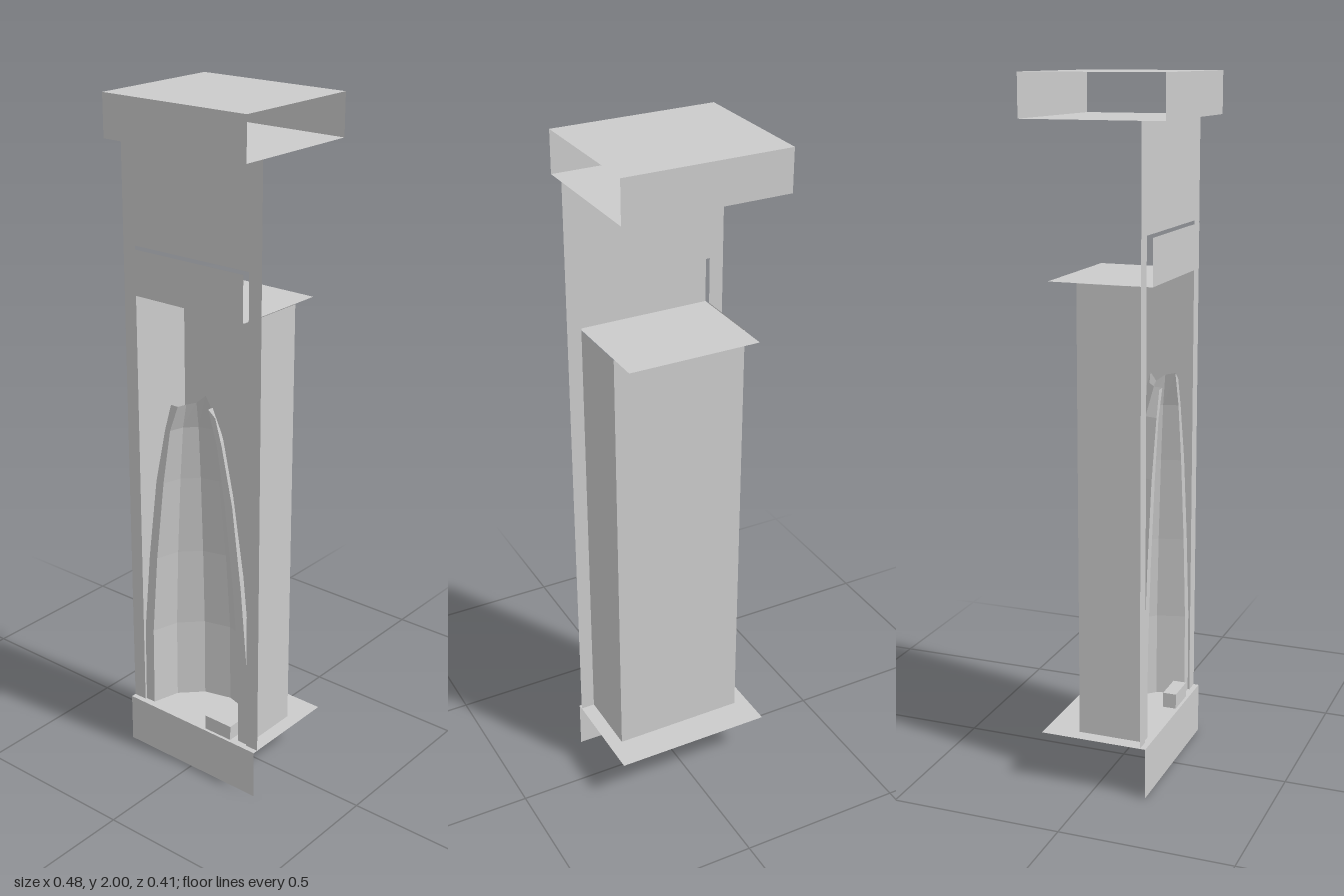
import * as THREE from 'three';

const grey = new THREE.MeshStandardMaterial({ color: 0xcccccc, side: THREE.DoubleSide, flatShading: true });

export function createModel() {
  const model = new THREE.Group();

  const add = (name, geometry, x = 0, y = 0, z = 0) => {
    const mesh = new THREE.Mesh(geometry, grey);
    mesh.name = name;
    mesh.position.set(x, y, z);
    model.add(mesh);
    return mesh;
  };
  // Upright sheet facing the front (or the back)
  const upright = (name, x0, x1, y0, y1, z, back = false) => {
    const mesh = add(name, new THREE.PlaneGeometry(x1 - x0, y1 - y0), (x0 + x1) / 2, (y0 + y1) / 2, z);
    if (back) mesh.rotation.y = Math.PI;
  };
  // Level sheet facing up (or down)
  const level = (name, halfWidth, y, z0, z1, down = false) => {
    const mesh = add(name, new THREE.PlaneGeometry(halfWidth * 2, z1 - z0), 0, y, (z0 + z1) / 2);
    mesh.rotation.x = down ? Math.PI / 2 : -Math.PI / 2;
  };
  // Grid of quads from rows of points
  const loft = (rows) => {
    const n = rows[0].length, index = [];
    for (let i = 0; i < rows.length - 1; i++) {
      for (let j = 0; j < n - 1; j++) {
        const a = i * n + j, b = a + 1, c = a + n, d = c + 1;
        index.push(a, b, d, a, d, c);
      }
    }
    const geometry = new THREE.BufferGeometry();
    geometry.setAttribute('position', new THREE.Float32BufferAttribute(rows.flat(2), 3));
    geometry.setIndex(index);
    geometry.computeVertexNormals();
    return geometry;
  };

  // Cap: a sleeve open at both ends
  level('capTop', 0.24, 2, -0.205, 0.205);
  level('capBottom', 0.24, 1.88, -0.205, 0.205, true);
  upright('capFront', -0.24, 0.24, 1.88, 2, 0.205);
  upright('capBack', -0.24, 0.24, 1.88, 2, -0.205, true);

  // Front panel with its tall opening
  const outline = [[-0.24, 0.15], [-0.198, 0.15], [-0.198, 1.585], [0.198, 1.585],
    [0.198, 0.15], [0.24, 0.15], [0.24, 1.88], [-0.24, 1.88]];
  const panel = new THREE.Shape(outline.map(([x, y]) => new THREE.Vector2(x, y)));
  add('frontPanel', new THREE.ShapeGeometry(panel), 0, 0, 0.14);

  // Plate and shelf closing the top of the niche
  upright('signPlate', -0.195, 0.192, 1.45, 1.58, 0.156);
  level('shelf', 0.195, 1.45, -0.145, 0.156);

  // Niche walls
  upright('nicheBack', -0.198, 0.198, 0.15, 1.45, -0.06);
  for (const side of [-1, 1]) {
    const wall = add(side > 0 ? 'leftNicheWall' : 'rightNicheWall', new THREE.PlaneGeometry(0.2, 1.3), side * 0.198, 0.8, 0.04);
    wall.rotation.y = side * Math.PI / 2;
  }

  // Floor and skirt
  level('floor', 0.24, 0.15, -0.16, 0.156);
  upright('skirt', -0.24, 0.24, 0, 0.15, 0.156);

  // Hollow half-round alcove: [height, radius, flange outer edge]
  const rimZ = 0.135;
  const profile = [[0.15, 0.165, 0.197], [0.4, 0.163, 0.195], [0.65, 0.143, 0.172],
    [0.9, 0.113, 0.14], [1.07, 0.085, 0.103], [1.15, 0.055, 0.08]];
  const jag = [0, 0, 0.005, 0.03, 0, 0.015, 0.02];
  add('alcoveShell', loft(profile.map(([y, r], i) => jag.map((rise, k) => {
    const angle = Math.PI * (1 + k / 6);
    const lift = i === profile.length - 1 ? rise : 0;
    return [r * Math.cos(angle), y + lift, rimZ + r * Math.sin(angle)];
  }))));

  // Narrow flange along both edges of the alcove
  for (const side of [-1, 1]) {
    add(side > 0 ? 'leftFlange' : 'rightFlange', loft(profile.map(([y, r, outer], i) => {
      const lift = side > 0 && i === profile.length - 1 ? 0.02 : 0;
      const edge = [[r, y + lift, rimZ], [outer, y, rimZ]];
      if (side < 0) edge.reverse();
      return edge.map(([x, h, z]) => [side * x, h, z]);
    })));
  }

  // Small block on the floor
  add('floorBlock', new THREE.BoxGeometry(0.095, 0.045, 0.04), 0.097, 0.1725, 0.127);

  return model;
}
